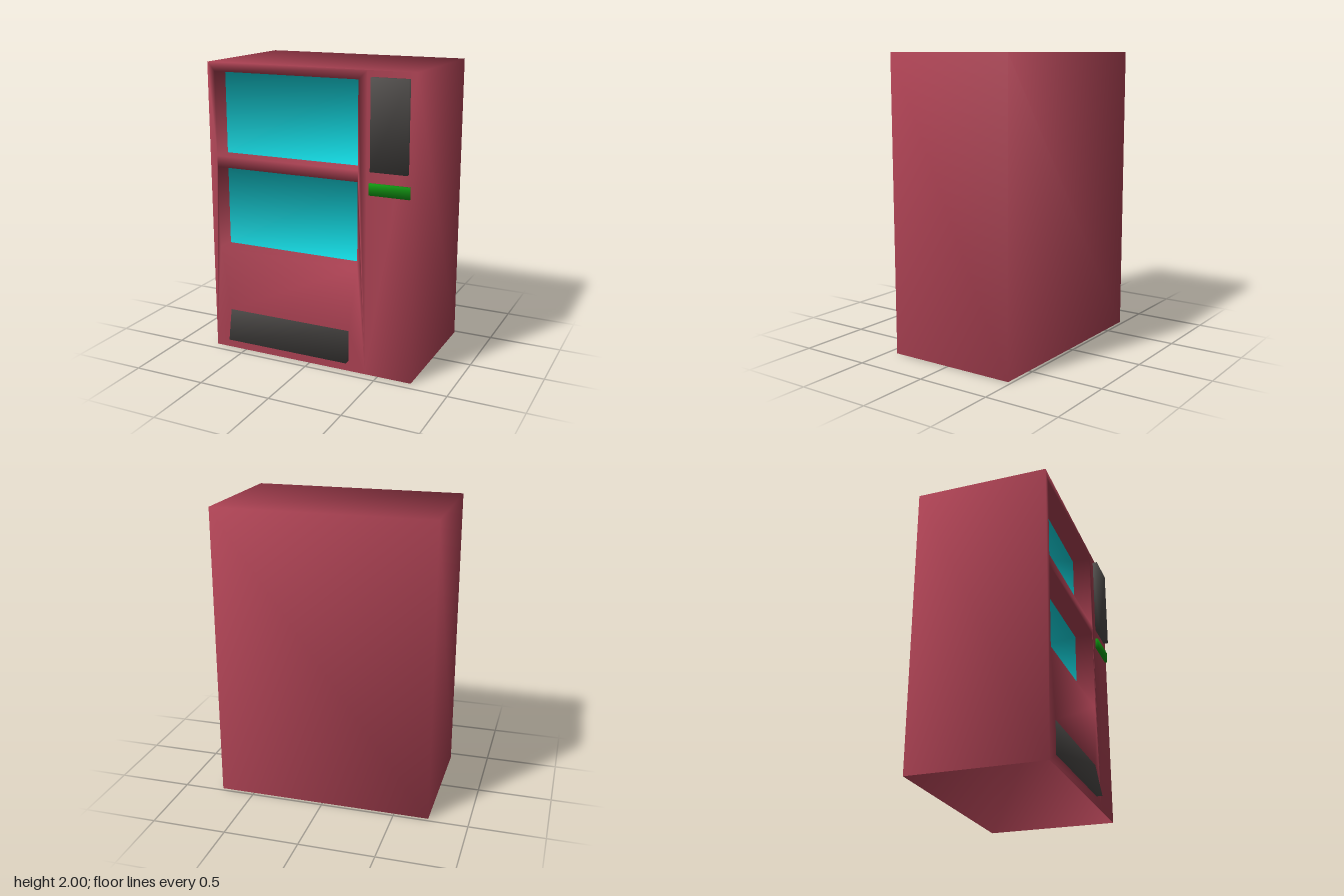
import * as THREE from 'three';

const red = new THREE.MeshStandardMaterial({ color: 0xa84051, side: THREE.DoubleSide });
red.name = 'cabinet red';
const cyan = new THREE.MeshStandardMaterial({ color: 0x10d2da, side: THREE.DoubleSide });
cyan.name = 'display cyan';
const grey = new THREE.MeshStandardMaterial({ color: 0x504d4b, side: THREE.DoubleSide });
grey.name = 'panel grey';
const green = new THREE.MeshStandardMaterial({ color: 0x109a10, side: THREE.DoubleSide });
green.name = 'slot green';

const X0 = -0.733, X1 = 0.733, TOP = 2, BACK = -0.475, FRONT = 0.435, SPLIT = 0.41;
const RECESS = 0.305;

const windows = [[-0.68, 0.35, 1.375, 1.94], [-0.68, 0.35, 0.73, 1.30]];
const hatch = [-0.61, 0.29, 0.07, 0.285];

// Corners of a rectangle, counter-clockwise from the front
const corners = ([x0, x1, y0, y1]) => [[x0, y0], [x1, y0], [x1, y1], [x0, y1]];

function quad(out, a, b, c, d) {
  out.push(...a, ...b, ...c, ...a, ...c, ...d);
}

// Four walls from depth z to the front edge; they face inward when the front edge lies behind z
function walls(out, rect, z, zBottom, zTop = zBottom, skipBottom = false) {
  const p = corners(rect);
  const zf = [zBottom, zBottom, zTop, zTop];
  for (let i = skipBottom ? 1 : 0; i < 4; i++) {
    const j = (i + 1) % 4;
    quad(out, [...p[i], z], [...p[j], z], [...p[j], zf[j]], [...p[i], zf[i]]);
  }
}

function cap(out, rect, zBottom, zTop = zBottom) {
  const [a, b, c, d] = corners(rect);
  quad(out, [...a, zBottom], [...b, zBottom], [...c, zTop], [...d, zTop]);
}

// Flat front sheet with rectangular openings
function sheet(out, rect, holes, z) {
  const pts = (r) => corners(r).map(([x, y]) => new THREE.Vector2(x, y));
  const shape = new THREE.Shape(pts(rect));
  shape.holes = holes.map((h) => new THREE.Path(pts(h)));
  const geo = new THREE.ShapeGeometry(shape).toNonIndexed().translate(0, 0, z);
  out.push(...geo.attributes.position.array);
}

// Smooth normals: each corner averages the distinct planes that meet there
function smoothGeometry(positions) {
  const geo = new THREE.BufferGeometry();
  geo.setAttribute('position', new THREE.Float32BufferAttribute(positions, 3));
  geo.computeVertexNormals();
  const pos = geo.attributes.position, nor = geo.attributes.normal;
  const planes = new Map();
  const key = (i) => [pos.getX(i), pos.getY(i), pos.getZ(i)].map((v) => Math.round(v * 1e4)).join();
  for (let i = 0; i < pos.count; i++) {
    const n = new THREE.Vector3().fromBufferAttribute(nor, i);
    if (!planes.has(key(i))) planes.set(key(i), []);
    const list = planes.get(key(i));
    if (n.length() > 0.5 && !list.some((m) => m.dot(n) > 0.999)) list.push(n);
  }
  for (let i = 0; i < pos.count; i++) {
    const sum = new THREE.Vector3();
    planes.get(key(i)).forEach((n) => sum.add(n));
    sum.normalize();
    nor.setXYZ(i, sum.x, sum.y, sum.z);
  }
  return geo;
}

function addMesh(group, name, geo, material) {
  const mesh = new THREE.Mesh(geo, material);
  mesh.name = name;
  group.add(mesh);
}

// Raised panel, open at the back
function addPanel(group, name, rect, zBottom, zTop, material) {
  const out = [];
  walls(out, rect, FRONT, zBottom, zTop);
  cap(out, rect, zBottom, zTop);
  addMesh(group, name, smoothGeometry(out), material);
}

export function createModel() {
  const group = new THREE.Group();
  group.name = 'vendingMachine';

  // Cabinet shell, open underneath
  const shell = [];
  const outline = [X0, X1, 0, TOP];
  walls(shell, outline, BACK, FRONT, FRONT, true);
  const [a, b, c, d] = corners(outline).map((p) => [...p, BACK]);
  quad(shell, a, d, c, b);

  // Front with display openings and hatch, plus the control column
  sheet(shell, [X0, SPLIT, 0, TOP], [...windows, hatch], FRONT);
  sheet(shell, [SPLIT, X1, 0, TOP], [], FRONT);
  for (const w of windows) walls(shell, w, FRONT, RECESS);

  // Display panes at the back of the recesses
  const panes = [];
  for (const w of windows) cap(panes, w, RECESS);
  const cabinet = smoothGeometry([...shell, ...panes]);
  cabinet.addGroup(0, shell.length / 3, 0);
  cabinet.addGroup(shell.length / 3, panes.length / 3, 1);
  addMesh(group, 'cabinetAndDisplays', cabinet, [red, cyan]);

  // Controls and sloping collection flap
  addPanel(group, 'controlPanel', [0.445, 0.69, 1.38, 1.96], 0.468, 0.468, grey);
  addPanel(group, 'noteSlot', [0.432, 0.703, 1.227, 1.303], 0.453, 0.453, green);
  addPanel(group, 'collectionFlap', hatch, 0.475, FRONT, grey);
  return group;
}
